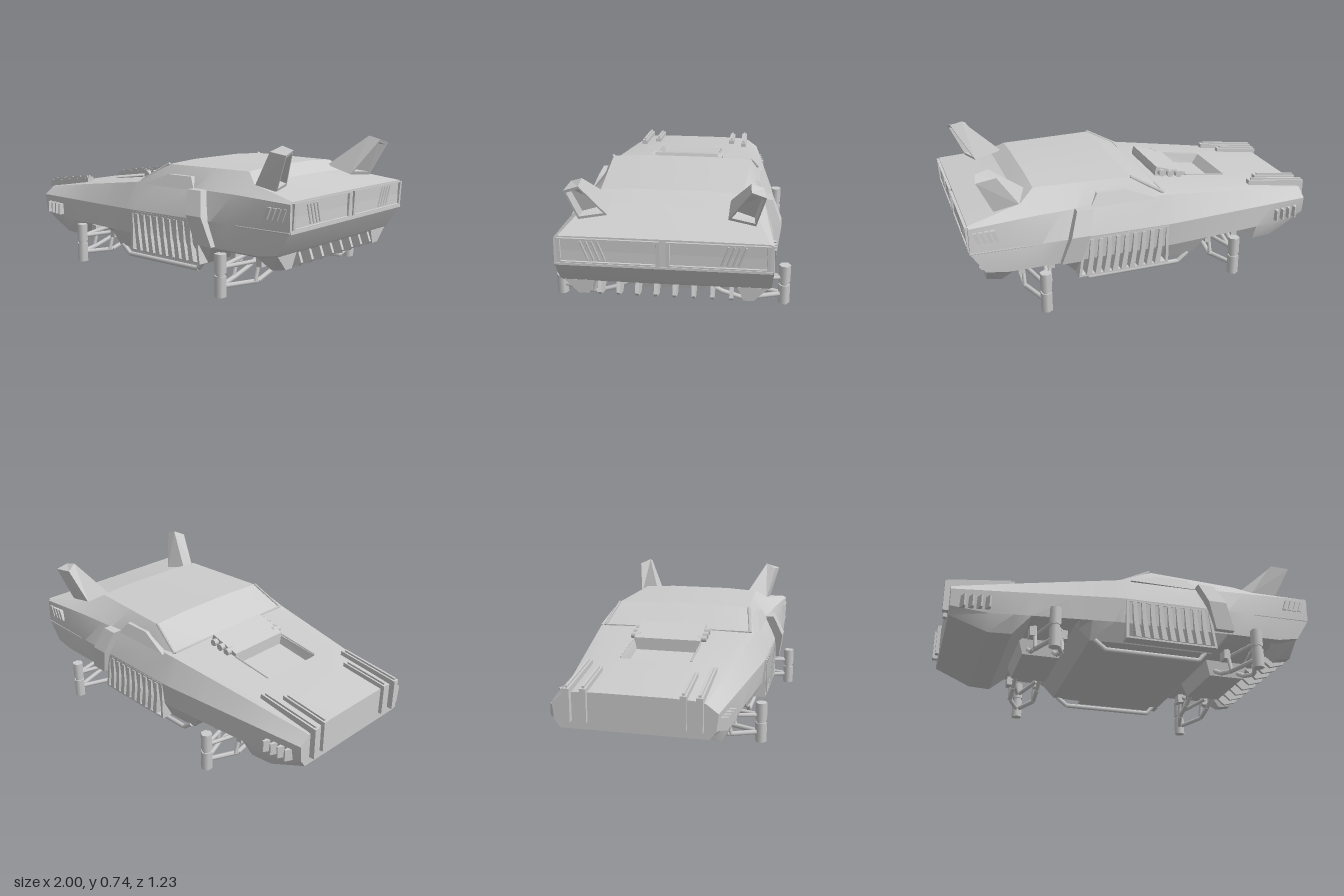
import * as THREE from 'three';
import { toCreasedNormals } from 'three/addons/utils/BufferGeometryUtils.js';

const mat = new THREE.MeshStandardMaterial({ color: 0xcccccc, side: THREE.DoubleSide });

// piecewise-linear lookup: keys are [x, value]
function at(keys, x) {
  if (x <= keys[0][0]) return keys[0][1];
  for (let i = 1; i < keys.length; i++) {
    const [x0, v0] = keys[i - 1], [x1, v1] = keys[i];
    if (x <= x1) return v0 + (v1 - v0) * (x - x0) / (x1 - x0);
  }
  return keys[keys.length - 1][1];
}

// geometry from a list of four-cornered faces
function quads(list, crease = 0) {
  const pos = [];
  for (const [a, b, c, d] of list) pos.push(...a, ...b, ...c, ...a, ...c, ...d);
  const g = new THREE.BufferGeometry();
  g.setAttribute('position', new THREE.Float32BufferAttribute(pos, 3));
  g.computeVertexNormals();
  return crease ? toCreasedNormals(g, crease) : g;
}

// six-sided solid; the top face can hold a recess
function solid(base, top, inset = 0, depth = 0) {
  const f = [[base[3], base[2], base[1], base[0]]];
  const mix = (a, b, t) => a.map((v, i) => v + (b[i] - v) * t);
  const mid = a => mix(mix(a[0], a[2], 0.5), mix(a[1], a[3], 0.5), 0.5);
  const ct = mid(top), rim = top.map(p => mix(p, ct, inset));
  const down = rim.map((p, i) => mix(p, mix(base[i], mid(base), inset), depth));
  for (let i = 0; i < 4; i++) {
    const j = (i + 1) % 4;
    f.push([base[i], base[j], top[j], top[i]]);
    if (inset) f.push([top[i], top[j], rim[j], rim[i]], [rim[i], rim[j], down[j], down[i]]);
  }
  f.push(inset ? down : top);
  return quads(f);
}

// side-view outline extruded from z0 to z1
function plate(pts, z0, z1, hole) {
  const s = new THREE.Shape(pts.map(p => new THREE.Vector2(...p)));
  if (hole) s.holes.push(new THREE.Path(hole.map(p => new THREE.Vector2(...p))));
  return new THREE.ExtrudeGeometry(s, { depth: z1 - z0, bevelEnabled: false }).translate(0, 0, z0);
}

// straight bar between two points
function strut(a, b, r, sides = 6) {
  const p = new THREE.Vector3(...a), d = new THREE.Vector3(...b).sub(p);
  const g = new THREE.CylinderGeometry(r, r, d.length(), sides);
  g.applyQuaternion(new THREE.Quaternion().setFromUnitVectors(new THREE.Vector3(0, 1, 0), d.clone().normalize()));
  return g.translate(...p.addScaledVector(d, 0.5).toArray());
}

function mirrorZ(geo) {
  const g = geo.index ? geo.toNonIndexed() : geo.clone();
  for (const k of ['position', 'normal']) {
    const a = g.attributes[k];
    for (let i = 0; i < a.count; i += 3) {
      const v = [0, 2, 1].map(n => [a.getX(i + n), a.getY(i + n), -a.getZ(i + n)]);
      v.forEach((p, n) => a.setXYZ(i + n, ...p));
    }
  }
  return g;
}

// body cross-section keys along the length
const K = {
  yb: [[-.97, .19], [-.77, .11], [-.65, .11], [-.56, .19], [-.33, .19], [-.25, .11], [.42, .11], [.5, .19], [.8, .19], [.985, .22]],
  zb: [[-.97, .37], [-.6, .41], [-.1, .45], [.8, .45], [.985, .5]],
  yl: [[-.97, .23], [-.77, .2], [.8, .215], [.985, .235]],
  zl: [[-.97, .4], [-.6, .45], [-.1, .5], [.985, .515]],
  w: [[-.97, .41], [-.6, .455], [-.1, .515], [.985, .522]],
  belt: [[-.97, .32], [-.1, .34], [.985, .35]],
  s: [[-.97, .35], [-.08, .45], [.34, .46], [.7, .49], [.985, .52]],
  ys: [[-.97, .365], [-.65, .41], [-.08, .485], [.62, .49], [.985, .485]],
  t: [[-.97, .3], [-.13, .39], [-.08, .42], [.1, .39], [.62, .36], [.7, .42], [.985, .5]],
  yt: [[-.97, .375], [-.65, .42], [-.08, .49], [.1, .592], [.62, .592], [.7, .54], [.985, .495]],
  yc: [[-.97, .38], [-.65, .425], [-.08, .495], [.1, .603], [.62, .603], [.7, .548], [.985, .497]],
};
const XS = [-.97, -.77, -.65, -.56, -.33, -.31, -.25, -.13, -.08, .1, .34, .42, .5, .62, .7, .8, .985];

function bodyGeometry() {
  const rings = XS.map(x => {
    const v = k => at(K[k], x), low = x > .98 ? .9 : x;
    const half = [[low, v('yb'), v('zb')], [low + (x - low) * .15, v('yl'), v('zl')], [x, v('belt'), v('w')],
      [x, v('ys'), v('s')], [x, v('yt'), v('t')], [x, v('yc'), .18]];
    return half.concat(half.map(([a, b, c]) => [a, b, -c]).reverse());
  });
  const f = [], last = rings[rings.length - 1];
  for (let i = 0; i < rings.length - 1; i++) for (let j = 0; j < 12; j++) {
    if (j === 5 && XS[i] > -.57 && XS[i] < -.32) continue; // hood opening
    const k = (j + 1) % 12;
    f.push([rings[i][j], rings[i + 1][j], rings[i + 1][k], rings[i][k]]);
  }
  for (let j = 0; j < 5; j++) {
    const cap = r => [r[j], r[j + 1], r[10 - j], r[11 - j]];
    f.push(cap(rings[0]), cap(last).reverse());
  }
  return quads(f, 0.35);
}

export function createModel() {
  const root = new THREE.Group();
  const add = (name, geo) => {
    const m = new THREE.Mesh(geo, mat);
    m.name = name;
    root.add(m);
  };
  const both = (name, geo) => { add(name + 'Left', geo); add(name + 'Right', mirrorZ(geo)); };

  add('body', bodyGeometry());

  // hood well and raised scoop with side pipes
  const hy = x => at(K.yc, x);
  const well = [[-.56, .18], [-.31, .18], [-.31, -.18], [-.56, -.18]].map(([x, z]) => [x, hy(x), z]);
  const floor = [[-.52, .385, .17], [-.31, .42, .17], [-.31, .42, -.17], [-.52, .385, -.17]];
  add('hoodWell', quads([floor, ...[0, 1, 2, 3].map(i => [well[(i + 1) % 4], well[i], floor[i], floor[(i + 1) % 4]])]));
  add('hoodScoop', plate([[-.31, .45], [-.125, .47], [-.125, .508], [-.134, .54], [-.31, .487]], -.185, .185));
  both('scoopLip', strut([-.55, hy(-.55), .188], [-.31, hy(-.31) + .005, .188], .006, 4));
  for (let i = 0; i < 3; i++) {
    const x = -.26 + i * .05, y = .487 + i * .01;
    both('exhaustPipe', strut([x, y, .16], [x, y, .212], .019, 10));
  }

  // nose rails wrapping over the front edge
  for (const [z, x0, x1] of [[.325, -1, -.64], [.245, -.99, -.72]]) {
    const e = (x1 + 1) * .13;
    both('noseRail', plate([[x0, .23], [x0, .4], [x1, .4 + e], [x1, .37 + e], [-.96, .37], [-.96, .23]], z - .016, z + .016));
    both('railGroove', plate([[x0 + .01, .4], [x0 + .01, .412], [x1 - .02, .408 + e], [x1 - .02, .39 + e]], z - .006, z + .006));
  }

  // nose gills
  for (let i = 0; i < 4; i++) {
    const x = -.925 + i * .042, z = .4 + i * .006;
    both('noseGill', solid([[x, .22, z], [x + .03, .22, z], [x + .03, .285, z], [x, .285, z]],
      [[x + .022, .22, z + .045], [x + .03, .22, z + .045], [x + .03, .285, z + .045], [x + .022, .285, z + .045]]));
  }

  // side intake frame with slanted slats
  both('intakeFrame', plate([[-.075, .115], [.43, .115], [.4, .335], [-.075, .335]], .455, .518,
    [[-.06, .125], [.415, .125], [.385, .325], [-.06, .325]]));
  for (let i = 0; i < 9; i++) {
    const x = -.04 + i * .048;
    both('intakeSlat', plate([[x, .325], [x + .022, .325], [x + .029, .22], [x + .046, .125], [x + .016, .125], [x + .004, .22]], .46, .524));
  }

  // belt strip at the rear quarter
  both('beltStrip', strut([.66, .345, .518], [.985, .35, .521], .005, 4));

  // roll band behind the door, bent at the waist
  const level = (x0, x1, y, z) => [[x0, y, z], [x1, y, z], [x1, y, .43], [x0, y, .43]];
  const bands = [level(.42, .525, .22, .54), level(.375, .475, .37, .562), level(.34, .43, .492, .51)];
  both('sideBandLower', solid(bands[0], bands[1]));
  both('sideBandUpper', solid(bands[1], bands[2]));

  // window sill block and windshield pillar
  both('windowSill', solid([[-.03, .48, .468], [.345, .48, .468], [.345, .48, .38], [-.03, .48, .38]],
    [[.14, .545, .44], [.3, .545, .44], [.3, .545, .38], [.14, .545, .38]]));
  both('windshieldPillar', strut([-.08, .49, .425], [.1, .594, .39], .009, 4));
  add('windshieldBase', new THREE.BoxGeometry(.012, .012, .84).translate(-.08, .492, 0));

  // canted tail fins, hollow at the rear
  both('tailFin', solid([[.65, .57, .3], [.70, .53, .42], [.82, .71, .46], [.848, .737, .4]],
    [[.80, .53, .295], [.84, .52, .43], [.925, .70, .475], [.915, .72, .405]], .16, .45));

  // recessed tail panels with diagonal bars
  both('tailPanel', solid([[.96, .37, .5], [.96, .37, .022], [.96, .485, .022], [.96, .485, .5]],
    [[.992, .362, .505], [.992, .362, .015], [1, .49, .015], [1, .49, .505]], .07, .3));
  for (let i = 0; i < 4; i++) {
    const z = .275 + i * .027;
    both('tailBar', strut([.985, .375, z], [.99, .475, z + .035], .005, 4));
  }
  add('tailCrease', new THREE.BoxGeometry(.012, .012, 1.03).translate(.982, .35, 0));

  // slanted outlets on the rear quarters
  for (let i = 0; i < 4; i++) {
    const x = .835 + i * .03;
    both('rearOutlet', plate([[x, .40], [x + .02, .40], [x + .042, .46], [x + .022, .46]], .49, .527));
  }

  // rear diffuser ribs and corner valances
  const rib = [[.74, .2], [.79, .165], [.83, .13], [.905, .152], [.92, .17], [.9, .225]];
  for (let i = 0; i < 4; i++) both('diffuserRib', plate(rib, .037 + i * .092, .055 + i * .092));
  both('cornerValance', solid([[.82, .135, .43], [.82, .135, .38], [.9, .15, .38], [.9, .15, .43]].reverse(),
    [[.74, .225, .5], [.74, .225, .35], [.905, .225, .35], [.905, .225, .5]].reverse()));

  // suspension: central carrier, wishbones, hexagonal hubs
  for (const [x, z, n] of [[-.455, .545, 'front'], [.625, .585, 'rear']]) {
    add(n + 'Carrier', solid([[x - .1, .105, .18], [x + .1, .105, .18], [x + .1, .105, -.18], [x - .1, .105, -.18]],
      [[x - .13, .2, .2], [x + .13, .2, .2], [x + .13, .2, -.2], [x - .13, .2, -.2]]));
    both(n + 'Hub', new THREE.CylinderGeometry(.031, .031, .105, 6).translate(x, .0525, z));
    both(n + 'HubCap', new THREE.CylinderGeometry(.031, .031, .095, 6).translate(x, .1675, z));
    both(n + 'HubNeck', new THREE.CylinderGeometry(.024, .024, .02, 6).translate(x, .11, z));
    for (const s of [-1, 1]) {
      const k = x + s * .07;
      both(n + 'LowerArm', strut([x, .052, z], [k, .052, .38], .013));
      both(n + 'LowerArmBend', strut([k, .052, .38], [k, .085, .27], .013));
      both(n + 'LowerArmRoot', strut([k, .085, .27], [k, .14, .17], .013));
      both(n + 'UpperArm', strut([x, .145, z], [k, .15, .3], .012));
      both(n + 'Link', strut([k, .052, .4], [k, .19, .36], .011));
      both(n + 'Bracket', new THREE.BoxGeometry(.035, .05, .06).translate(k + s * .012, .15, .36));
    }
  }

  // side skid bars
  const bar = [[-.225, .115], [-.165, .068], [.35, .068], [.39, .115]];
  for (let i = 0; i < 3; i++) both('skidBar', strut([...bar[i], .44], [...bar[i + 1], .44], .013));

  return root;
}
